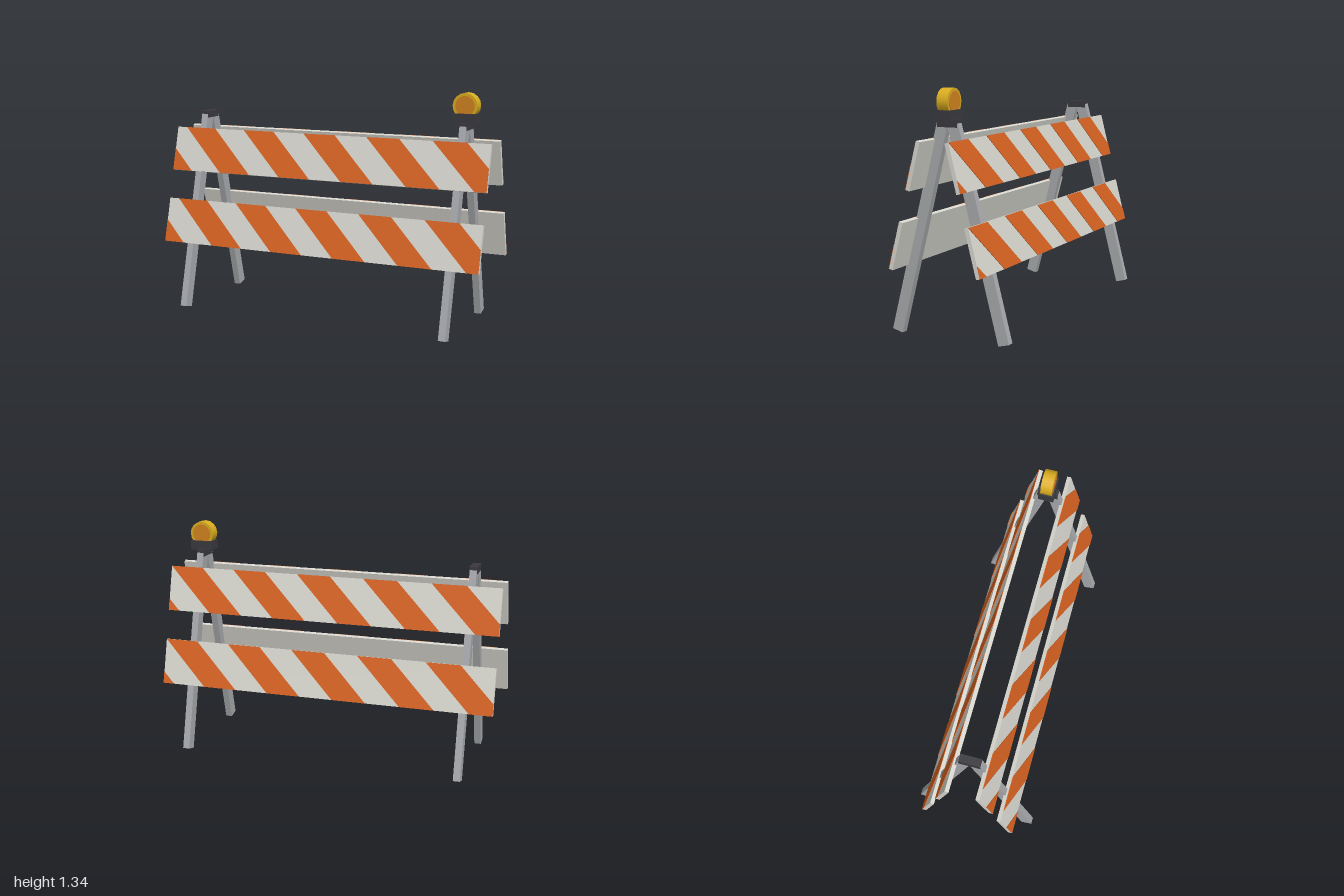
import * as THREE from 'three';

const mat = (name, color) => {
  const m = new THREE.MeshStandardMaterial({ color });
  m.name = name;
  return m;
};

const TILT = 0.253;      // lean of each leg frame
const POST_X = 0.826;    // distance of the legs from the middle
const BOARD_H = 0.267;

export function createModel() {
  const white = mat('boardWhite', 0xd9d8d0);
  const orange = mat('stripeOrange', 0xda6422);
  const metal = mat('legGrey', 0xa9abae);
  const dark = mat('bracketDark', 0x3a3a40);
  const yellow = mat('lampYellow', 0xdcae20);
  const amber = mat('lensAmber', 0xd3841f);

  const model = new THREE.Group();
  model.name = 'barricade';

  const add = (parent, name, geometry, material, x, y, z) => {
    const mesh = new THREE.Mesh(geometry, material);
    mesh.name = name;
    mesh.position.set(x, y, z);
    parent.add(mesh);
    return mesh;
  };

  // Keeps the part of a convex polygon where side * x <= 1
  const clip = (points, side) => {
    const out = [];
    points.forEach((a, i) => {
      const b = points[(i + 1) % points.length];
      const da = 1 - side * a.x, db = 1 - side * b.x;
      if (da >= 0) out.push(a);
      if (da * db < 0) out.push(a.clone().lerp(b, da / (da - db)));
    });
    return out;
  };

  // Diagonal stripes as thin plates, cut off at the board ends
  const addStripes = (board, phase) => {
    for (let k = -1; k <= 4; k++) {
      const x = phase + 0.4 * k, h = BOARD_H / 2;
      let points = [[x, h], [x + BOARD_H, -h], [x + 0.2 + BOARD_H, -h], [x + 0.2, h]]
        .map(([px, py]) => new THREE.Vector2(px, py));
      points = clip(clip(points, 1), -1);
      if (points.length < 3) continue;
      const plate = new THREE.ExtrudeGeometry(new THREE.Shape(points), { depth: 0.003, bevelEnabled: false });
      add(board, 'stripe', plate, orange, 0, 0, 0.0115);
    }
  };

  // One leaning frame: two legs and two striped boards
  const makeFrame = (name, phase) => {
    const turn = new THREE.Group();
    turn.name = name;
    const frame = new THREE.Group();
    frame.position.set(0, 0.0081, 0.327);
    frame.rotation.x = -TILT;
    turn.add(frame);
    for (const side of [-1, 1]) {
      add(frame, 'leg', new THREE.BoxGeometry(0.04, 1.18, 0.065), metal, side * POST_X, 0.59, 0);
    }
    for (const [boardName, bottom] of [['lowerBoard', 0.382], ['upperBoard', 0.824]]) {
      const board = new THREE.Group();
      board.name = boardName;
      board.position.set(0, bottom + BOARD_H / 2, 0.032);
      add(board, 'panel', new THREE.BoxGeometry(2, BOARD_H, 0.023), white, 0, 0, 0);
      addStripes(board, phase);
      frame.add(board);
    }
    model.add(turn);
    return turn;
  };
  makeFrame('frontFrame', -0.935);
  makeFrame('rearFrame', -0.999).rotation.y = Math.PI;

  // Hinge caps joining the legs
  for (const side of [-1, 1]) {
    add(model, 'hingeCap', new THREE.BoxGeometry(0.045, 0.04, 0.12), dark, side * POST_X, 1.156, 0);
  }

  // Warning lamp on the left post
  const lamp = new THREE.Group();
  lamp.name = 'warningLamp';
  lamp.position.set(POST_X, 0, 0);
  add(lamp, 'lampBase', new THREE.BoxGeometry(0.134, 0.055, 0.09), dark, 0, 1.1995, 0);
  const disc = (r, depth) => new THREE.CylinderGeometry(r, r, depth, 16).rotateX(Math.PI / 2);
  add(lamp, 'lampHousing', disc(0.072, 0.066), yellow, 0, 1.269, 0);
  add(lamp, 'lens', disc(0.056, 0.072), amber, 0, 1.269, 0);
  model.add(lamp);

  return model;
}
